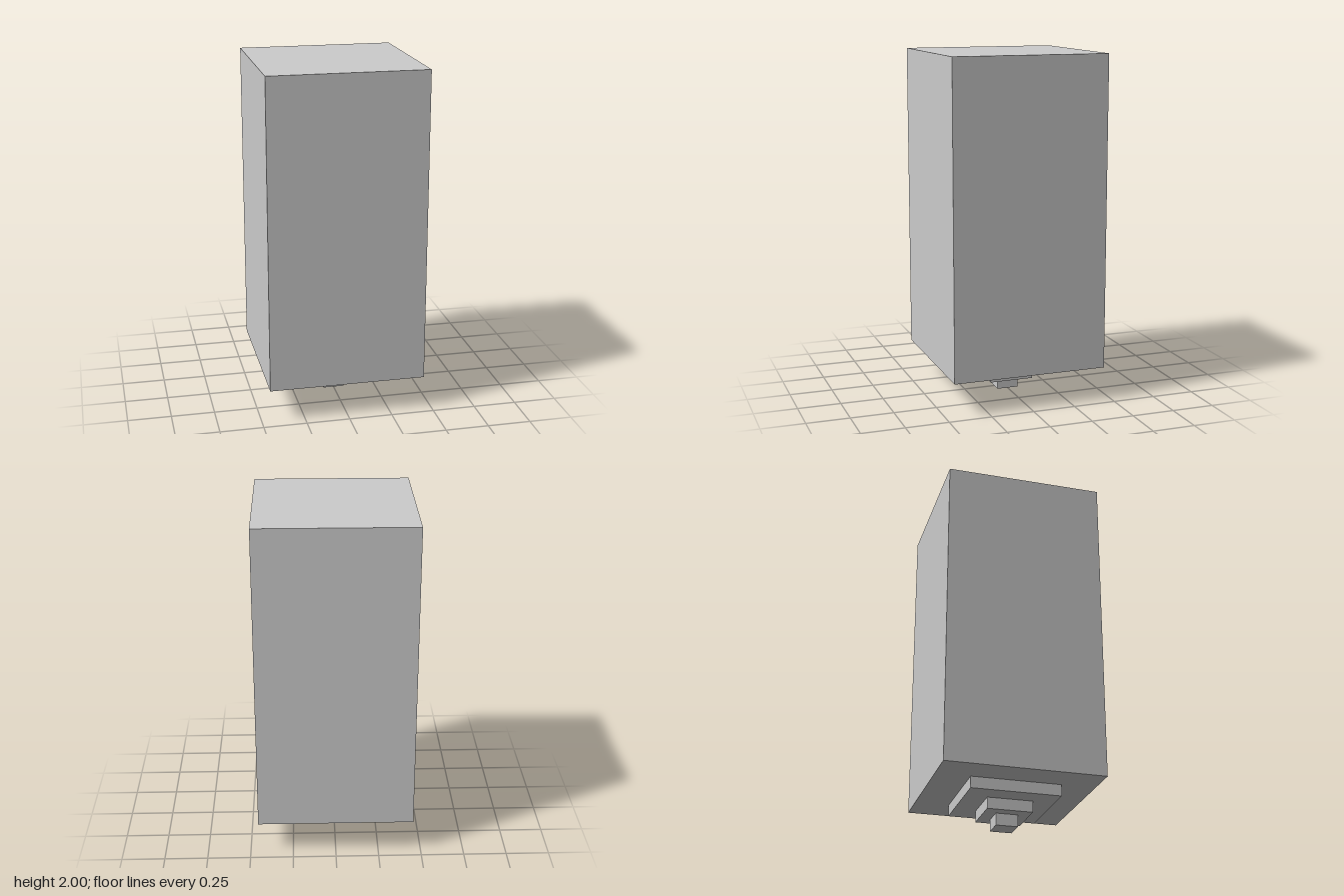
import * as THREE from 'three';

// Stacked square blocks: [name, width, bottom y, top y]
const BLOCKS = [
  ['body', 0.904, 0.197, 2],
  ['upperStep', 0.513, 0.132, 0.197],
  ['middleStep', 0.26, 0.068, 0.132],
  ['lowerStep', 0.125, 0, 0.068],
];

export function createModel() {
  const group = new THREE.Group();
  group.name = 'steppedPillar';
  const material = new THREE.MeshStandardMaterial({ color: 0xcccccc });

  // Tall body above three steps narrowing to the foot
  for (const [name, width, bottom, top] of BLOCKS) {
    const mesh = new THREE.Mesh(new THREE.BoxGeometry(width, top - bottom, width), material);
    mesh.name = name;
    mesh.position.y = (bottom + top) / 2;
    group.add(mesh);
  }
  return group;
}
